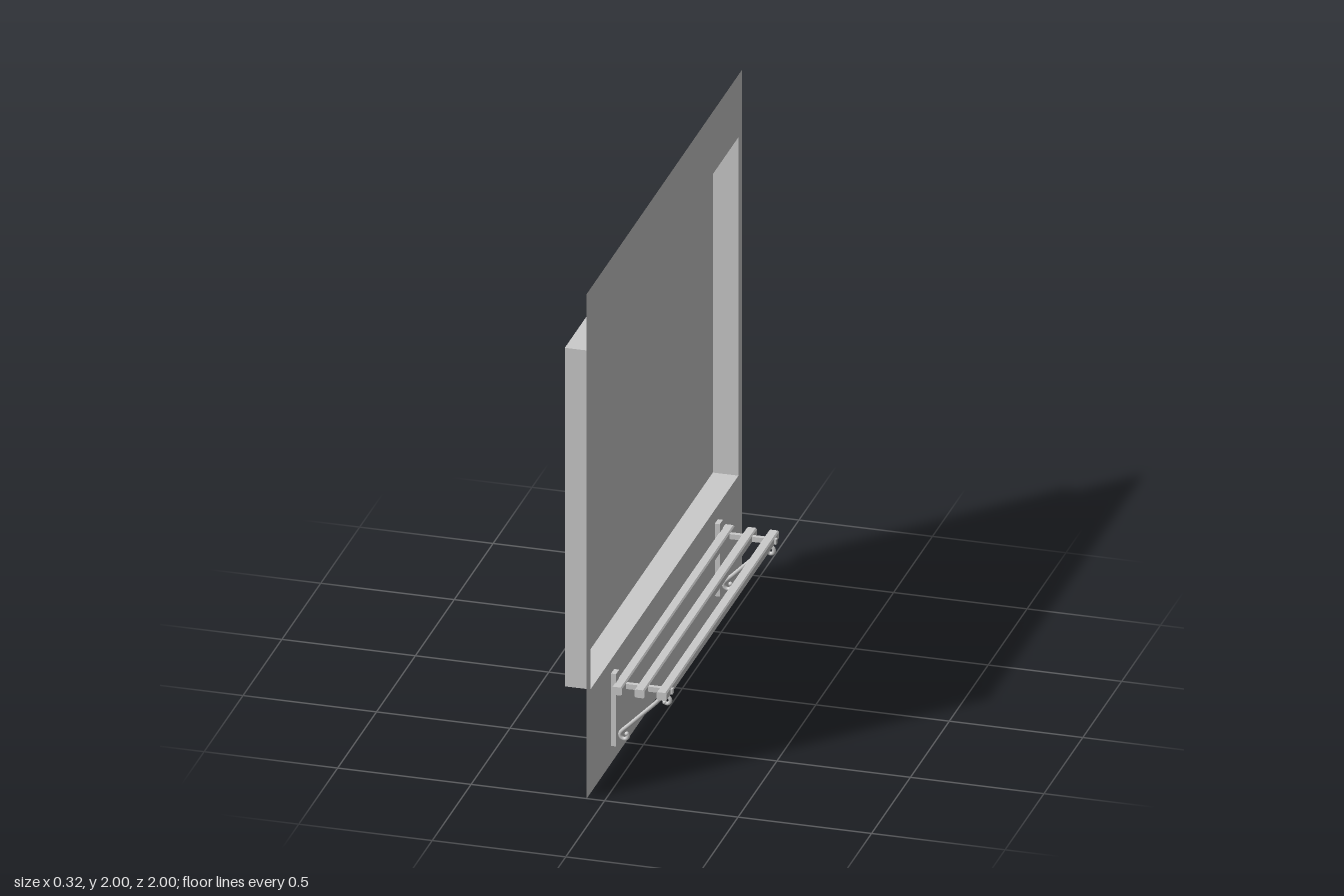
import * as THREE from 'three';

const WALL_X = -0.067, BACK_X = -0.163;   // wall plane and back of the recess
const HALF_Z = 0.952, LOW = 0.411, HIGH = 1.753; // recess opening

export function createModel() {
  const model = new THREE.Group();
  const grey = new THREE.MeshStandardMaterial({ color: 0xcccccc });
  const sheet = new THREE.MeshStandardMaterial({ color: 0xcccccc, side: THREE.DoubleSide });

  function add(parent, name, geometry, material, x = 0, y = 0, z = 0) {
    const mesh = new THREE.Mesh(geometry, material);
    mesh.name = name;
    mesh.position.set(x, y, z);
    parent.add(mesh);
    return mesh;
  }

  // Thin wall with a rectangular opening, facing +x
  const outline = new THREE.Shape([[-1, 0], [1, 0], [1, 2], [-1, 2]].map(p => new THREE.Vector2(...p)));
  outline.holes.push(new THREE.Path(
    [[-HALF_Z, LOW], [-HALF_Z, HIGH], [HALF_Z, HIGH], [HALF_Z, LOW]].map(p => new THREE.Vector2(...p))));
  add(model, 'wall', new THREE.ShapeGeometry(outline).rotateY(Math.PI / 2), sheet, WALL_X);

  // Recess behind the opening: back panel and four sides
  const recess = new THREE.Group();
  recess.name = 'recess';
  model.add(recess);
  const depth = WALL_X - BACK_X, midX = (WALL_X + BACK_X) / 2;
  const height = HIGH - LOW, midY = (HIGH + LOW) / 2;
  add(recess, 'recessBack', new THREE.PlaneGeometry(HALF_Z * 2, height).rotateY(Math.PI / 2), sheet, BACK_X, midY);
  for (const s of [-1, 1]) {
    add(recess, s < 0 ? 'recessFarSide' : 'recessNearSide',
      new THREE.PlaneGeometry(depth, height).rotateY(s > 0 ? Math.PI : 0), sheet, midX, midY, s * HALF_Z);
    add(recess, s < 0 ? 'recessSill' : 'recessCeiling',
      new THREE.PlaneGeometry(depth, HALF_Z * 2).rotateX(s * Math.PI / 2), sheet, midX, s < 0 ? LOW : HIGH);
  }

  // Shelf slats with chamfered edges, running along z
  const w = 0.019, h = 0.016, c = 0.005, length = 1.448;
  const section = new THREE.Shape([
    [-w + c, -h], [w - c, -h], [w, -h + c], [w, h - c],
    [w - c, h], [-w + c, h], [-w, h - c], [-w, -h + c],
  ].map(p => new THREE.Vector2(...p)));
  const slat = new THREE.ExtrudeGeometry(section, { depth: length, bevelEnabled: false })
    .translate(0, 0, -length / 2);
  for (const x of [-0.034, 0.05, 0.133]) add(model, 'slat', slat, grey, x, 0.307);

  // Diagonal brace with a scroll at each end
  const points = [];
  const arc = (cx, cy, from, to, r0, r1) => {
    for (let i = 0; i <= 9; i++) {
      const a = THREE.MathUtils.degToRad(from + (to - from) * i / 9), r = r0 + (r1 - r0) * i / 9;
      points.push(new THREE.Vector3(cx + r * Math.cos(a), cy + r * Math.sin(a), 0));
    }
  };
  arc(-0.021, 0.109, 400, 135, 0.010, 0.019);
  points.push(new THREE.Vector3(0.0, 0.157, 0), new THREE.Vector3(0.045, 0.202, 0), new THREE.Vector3(0.09, 0.247, 0));
  arc(0.135, 0.267, 135, -130, 0.019, 0.010);
  const braceCurve = new THREE.CatmullRomCurve3(points);

  // Two brackets carrying the slats
  for (const s of [-1, 1]) {
    const bracket = new THREE.Group();
    bracket.name = 'bracket';
    bracket.position.z = s * 0.667;
    model.add(bracket);
    add(bracket, 'post', new THREE.BoxGeometry(0.038, 0.287, 0.04), grey, -0.067, 0.213);
    add(bracket, 'supportBar', new THREE.BoxGeometry(0.22, 0.02, 0.017), grey, 0.05, 0.307);
    add(bracket, 'scrollBrace', new THREE.TubeGeometry(braceCurve, 90, 0.0075, 8), grey);
    for (const i of [0, points.length - 1])
      add(bracket, 'scrollTip', new THREE.SphereGeometry(0.0085, 10, 8), grey, points[i].x, points[i].y);
  }
  return model;
}
